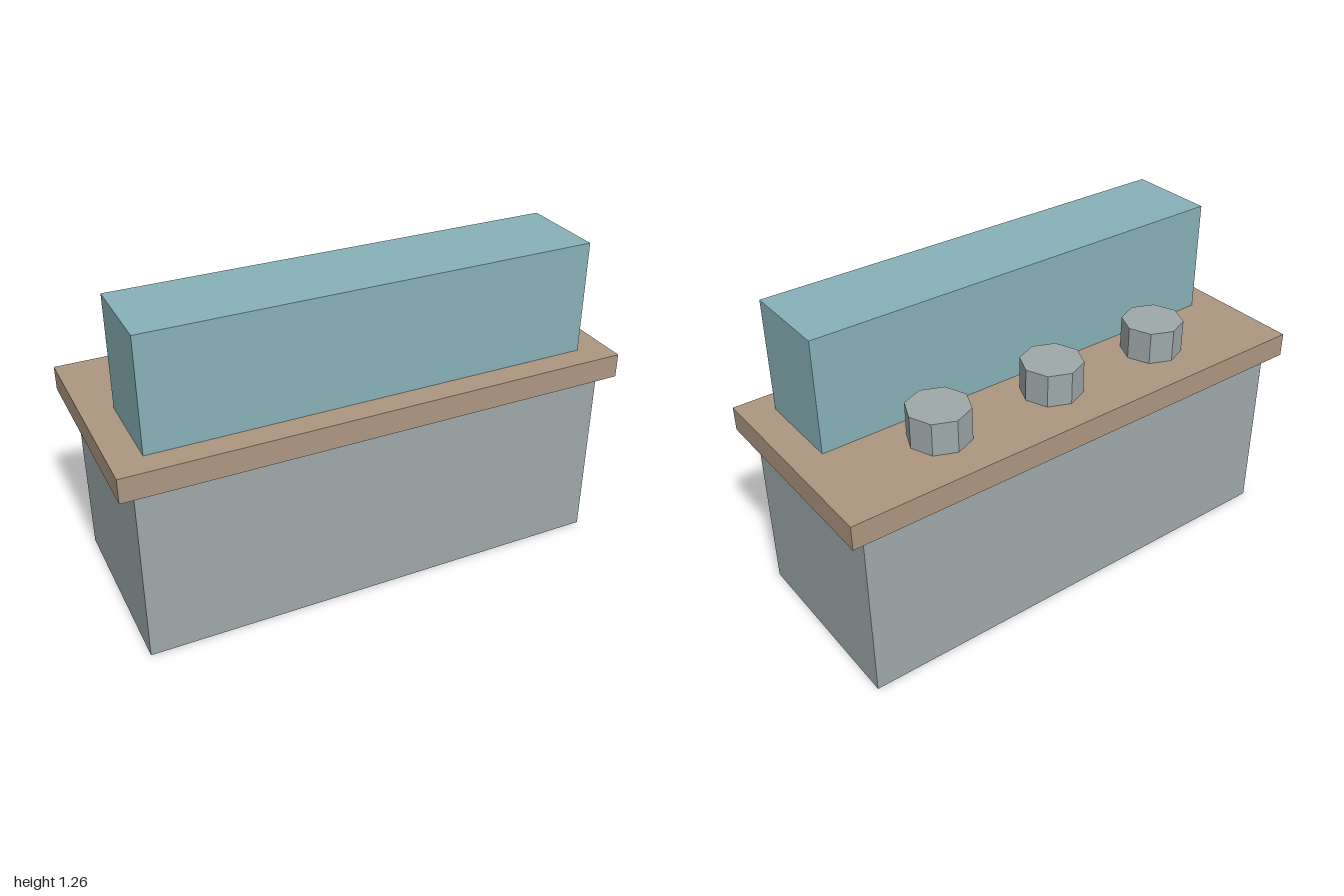
import * as THREE from 'three';

export function createModel() {
  const group = new THREE.Group();
  group.name = 'counter';

  const material = (name, color) => {
    const m = new THREE.MeshStandardMaterial({ color });
    m.name = name;
    return m;
  };
  const grey = material('grey', 0x9ea8aa);
  const wood = material('wood brown', 0xac9680);
  const teal = material('glass teal', 0x87b1b8);

  // Box resting at a given height
  const box = (name, mat, w, h, d, bottom, z = 0) => {
    const mesh = new THREE.Mesh(new THREE.BoxGeometry(w, h, d), mat);
    mesh.name = name;
    mesh.position.set(0, bottom + h / 2, z);
    group.add(mesh);
  };

  box('cabinet', grey, 1.88, 0.714, 0.764, 0);
  box('worktop', wood, 2, 0.096, 0.85, 0.714);
  box('displayCase', teal, 1.76, 0.448, 0.35, 0.81, 0.15);

  // Row of eight-sided pots behind the display case
  const potGeometry = new THREE.CylinderGeometry(0.12, 0.12, 0.13, 8).toNonIndexed();
  potGeometry.computeVertexNormals();
  for (const x of [-0.5, 0, 0.5]) {
    const pot = new THREE.Mesh(potGeometry, grey);
    pot.name = 'pot';
    pot.position.set(x, 0.875, -0.18);
    group.add(pot);
  }

  return group;
}
